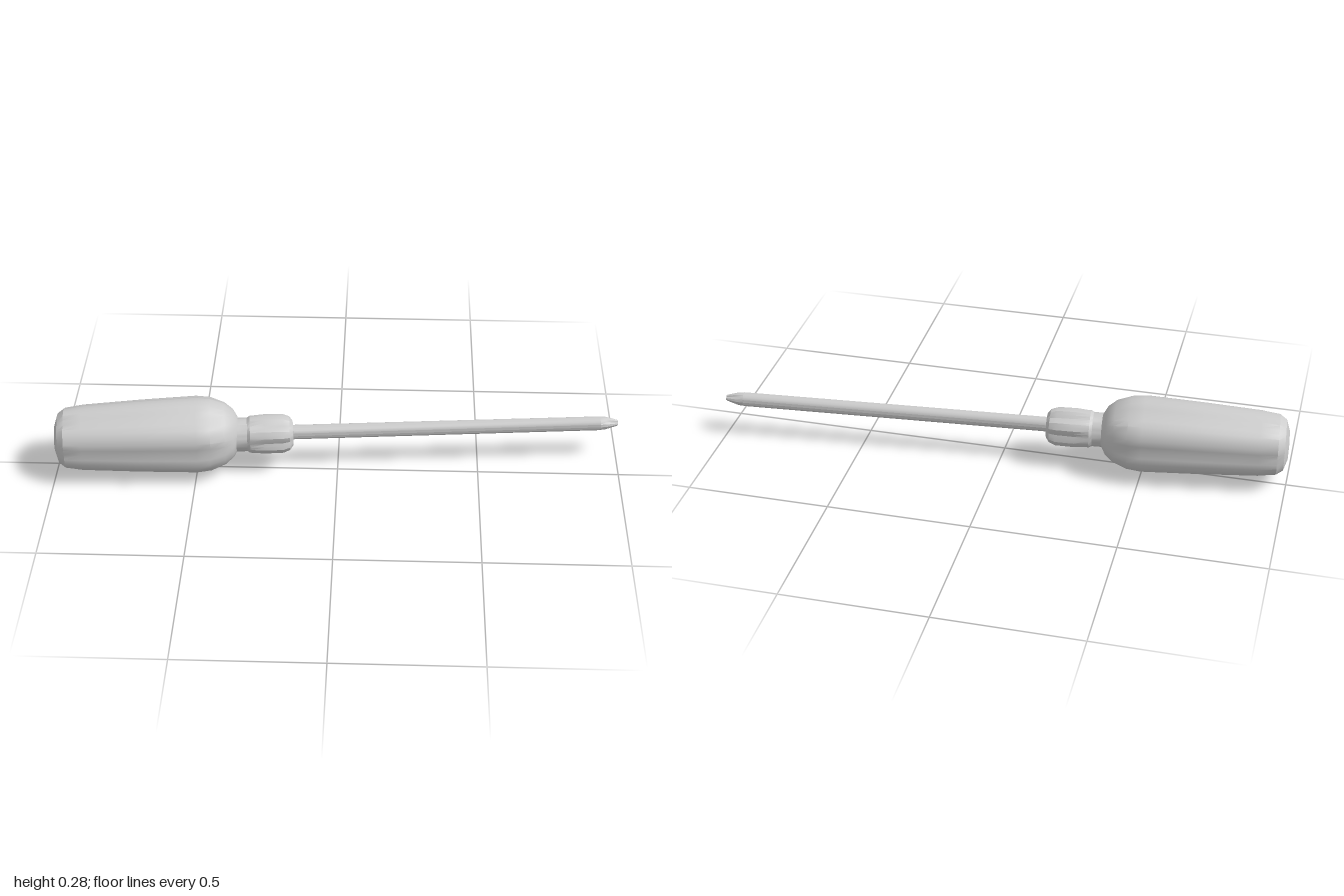
import * as THREE from 'three';
import { toCreasedNormals } from 'three/addons/utils/BufferGeometryUtils.js';

const material = new THREE.MeshStandardMaterial({ color: 0xcccccc });

// Skin round sections along x. Each station is [x, radius, flute depth];
// flutes are cut midway between evenly spaced lobes, the first lobe being at the top.
function loft(name, stations, lobes, steps, crease) {
  const n = lobes * steps;
  const pos = [], index = [];
  stations.forEach(([x, r, depth]) => {
    for (let i = 0; i < n; i++) {
      const a = (i / n) * Math.PI * 2;
      const k = (i % steps) / steps;
      const away = Math.min(k, 1 - k) * 2; // 0 on a lobe, 1 in a flute
      const rr = r * (1 - depth * Math.max(0, (away - 0.33) / 0.67));
      pos.push(x, rr * Math.cos(a), rr * Math.sin(a));
    }
  });
  for (let s = 0; s < stations.length - 1; s++) {
    for (let i = 0; i < n; i++) {
      const j = (i + 1) % n;
      const a = s * n + i, b = s * n + j, c = a + n, d = b + n;
      if (stations[s][1] > 0) index.push(a, b, c);
      if (stations[s + 1][1] > 0) index.push(b, d, c);
      else if (stations[s][1] > 0) continue;
    }
  }
  const g = new THREE.BufferGeometry();
  g.setAttribute('position', new THREE.Float32BufferAttribute(pos, 3));
  g.setIndex(index);
  const mesh = new THREE.Mesh(toCreasedNormals(g, crease), material);
  mesh.name = name;
  return mesh;
}

export function createModel() {
  const model = new THREE.Group();
  model.name = 'screwdriver';

  // Six-lobed grip with a rounded butt and shoulder
  const handle = loft('handle', [
    [-1, 0, 0], [-0.998, 0.05, 0], [-0.985, 0.09, 0.02], [-0.962, 0.109, 0.06],
    [-0.9, 0.119, 0.09], [-0.7, 0.131, 0.09], [-0.5, 0.14, 0.1], [-0.45, 0.134, 0.09],
    [-0.4, 0.113, 0.05], [-0.37, 0.085, 0], [-0.355, 0.058, 0], [-0.355, 0, 0],
  ], 6, 6, 0.5);
  handle.position.z = -0.006;

  // Smooth neck running into a slotted collar
  const collar = loft('collar', [
    [-0.37, 0, 0], [-0.37, 0.06, 0], [-0.322, 0.06, 0], [-0.312, 0.067, 0.04],
    [-0.26, 0.072, 0.14], [-0.195, 0.071, 0.16], [-0.172, 0.062, 0.14],
    [-0.16, 0.045, 0.05], [-0.157, 0, 0],
  ], 6, 6, 0.45);
  collar.position.y = -0.004;

  // Plain round shaft
  const shaft = loft('shaft', [
    [-0.18, 0, 0], [-0.18, 0.026, 0], [0.935, 0.025, 0], [0.935, 0, 0],
  ], 4, 4, 0.6);

  // Tapered cross tip
  const tip = loft('tip', [
    [0.93, 0, 0], [0.93, 0.025, 0], [0.955, 0.024, 0.12], [0.985, 0.016, 0.3],
    [1, 0.011, 0.3], [1, 0, 0],
  ], 4, 4, 0.4);

  // The tool lies slightly askew
  const tool = new THREE.Group();
  tool.name = 'tool';
  tool.add(handle, collar, shaft, tip);
  tool.rotation.y = 0.082;
  tool.position.set(0, 0.143, -0.04);
  model.add(tool);
  return model;
}
